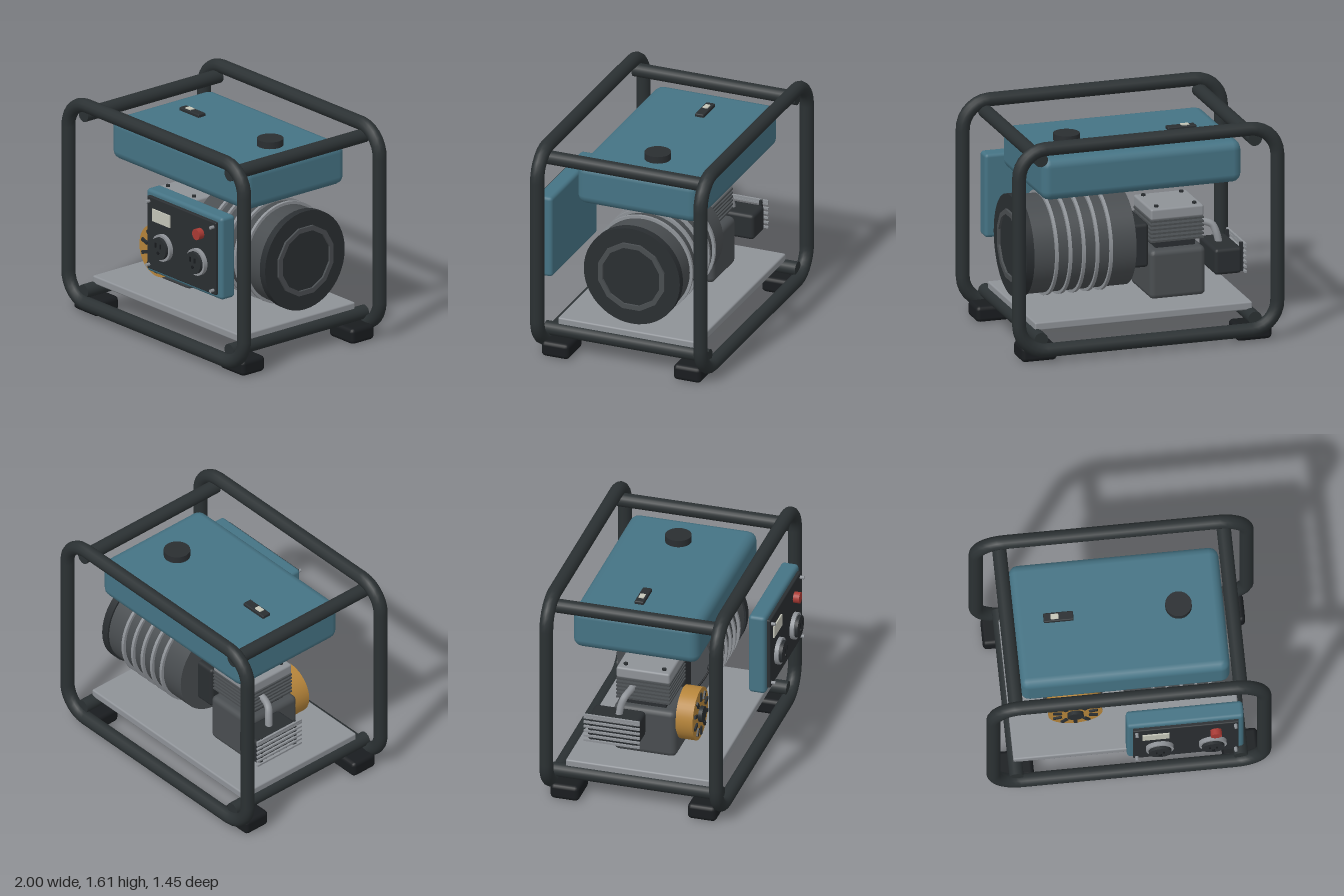
import * as THREE from 'three';
import { RoundedBoxGeometry } from 'three/addons/geometries/RoundedBoxGeometry.js';

const mat = (color) => new THREE.MeshStandardMaterial({ color });
const M = {
  frame: mat(0x2b3133), dark: mat(0x2a2e31), black: mat(0x191c1f), blue: mat(0x457384),
  metal: mat(0x8e9297), body: mat(0x494d50), gold: mat(0xb5843a), red: mat(0xa83a34), pale: mat(0xc4c5b8),
};

export function createModel() {
  const root = new THREE.Group();

  const add = (name, geometry, material, x = 0, y = 0, z = 0, parent = root) => {
    const mesh = new THREE.Mesh(geometry, material);
    mesh.name = name;
    mesh.position.set(x, y, z);
    parent.add(mesh);
    return mesh;
  };
  const group = (name) => {
    const g = new THREE.Group();
    g.name = name;
    root.add(g);
    return g;
  };
  // Box given by its extents; r rounds the edges
  const box = (name, m, [x0, x1], [y0, y1], [z0, z1], r = 0, parent = root) => {
    const s = [x1 - x0, y1 - y0, z1 - z0];
    const g = r ? new RoundedBoxGeometry(...s, 2, r) : new THREE.BoxGeometry(...s);
    return add(name, g, m, (x0 + x1) / 2, (y0 + y1) / 2, (z0 + z1) / 2, parent);
  };
  // Cylinder along an axis, from a to b on that axis; c holds the centre
  const rod = (name, m, axis, r, a, b, c, parent = root, sides = 32) => {
    const g = new THREE.CylinderGeometry(r, r, b - a, sides);
    if (axis === 'x') g.rotateZ(-Math.PI / 2);
    if (axis === 'z') g.rotateX(Math.PI / 2);
    const p = new THREE.Vector3(...c);
    p[axis] = (a + b) / 2;
    return add(name, g, m, p.x, p.y, p.z, parent);
  };

  // Tubular frame: two rounded loops joined by four cross bars
  const frame = group('frame');
  const V = (x, y) => new THREE.Vector3(x, y, 0);
  const loop = new THREE.CurvePath();
  const hx = 0.95, hy = 0.735, r = 0.2, k = r * 0.4477;
  // Corners in counter-clockwise order, with incoming and outgoing directions
  const corners = [[1, -1, 1, 0, 0, 1], [1, 1, 0, 1, -1, 0], [-1, 1, -1, 0, 0, -1], [-1, -1, 0, -1, 1, 0]]
    .map(([sx, sy, ix, iy, ox, oy]) => {
      const at = (d, dx, dy) => V(sx * hx + dx * d, sy * hy + dy * d);
      return [at(-r, ix, iy), at(-k, ix, iy), at(k, ox, oy), at(r, ox, oy)];
    });
  corners.forEach((c, i) => {
    loop.add(new THREE.CubicBezierCurve3(...c));
    loop.add(new THREE.LineCurve3(c[3], corners[(i + 1) % 4][0]));
  });
  const loopGeometry = new THREE.TubeGeometry(loop, 144, 0.05, 12, true);
  add('frontLoop', loopGeometry, M.frame, 0, 0.82, 0.563, frame);
  add('backLoop', loopGeometry, M.frame, 0, 0.82, -0.675, frame);
  for (const s of [-1, 1]) {
    rod('topCrossBar', M.frame, 'z', 0.05, -0.675, 0.563, [s * 0.787, 1.475, 0], frame, 20);
    rod('bottomCrossBar', M.frame, 'z', 0.05, -0.675, 0.563, [s * 0.787, 0.165, 0], frame, 20);
    for (const z of [[0.34, 0.55], [-0.66, -0.45]])
      box('foot', M.black, [s * 0.79 - 0.13, s * 0.79 + 0.13], [0, 0.115], z, 0.03, frame);
  }

  box('basePlate', M.metal, [-0.8, 0.8], [0.2, 0.26], [-0.58, 0.47], 0.012);

  // Fuel tank with cap and gauge
  const tank = group('fuelTank');
  box('tankBody', M.blue, [-0.737, 0.733], [1.125, 1.43], [-0.555, 0.365], 0.065, tank);
  rod('fuelCap', M.dark, 'y', 0.093, 1.42, 1.48, [0.417, 0, -0.125], tank);
  box('fuelGauge', M.dark, [-0.53, -0.32], [1.42, 1.453], [-0.16, -0.093], 0.008, tank);
  box('gaugeWindow', M.pale, [-0.48, -0.425], [1.44, 1.46], [-0.145, -0.107], 0, tank);

  // Control panel
  const panel = group('controlPanel');
  box('panelHousing', M.blue, [-0.02, 0.8], [0.557, 1.167], [0.515, 0.64], 0.025, panel);
  box('panelFace', M.dark, [0.02, 0.76], [0.592, 1.13], [0.62, 0.665], 0.008, panel);
  box('meterWindow', M.pale, [0.085, 0.275], [0.96, 1.05], [0.66, 0.675], 0, panel);
  rod('stopButton', M.red, 'z', 0.04, 0.66, 0.71, [0.6, 1.01, 0], panel, 24);
  for (const x of [0.045, 0.738]) for (const y of [0.625, 1.095])
    rod('panelScrew', M.metal, 'z', 0.012, 0.66, 0.695, [x, y, 0], panel, 10);
  for (const x of [0.205, 0.577]) {
    rod('socketRing', M.metal, 'z', 0.097, 0.66, 0.695, [x, 0.795, 0], panel);
    rod('socketFace', M.dark, 'z', 0.08, 0.69, 0.718, [x, 0.795, 0], panel);
    for (const s of [-1, 1])
      box('socketSlot', M.black, [x + s * 0.025 - 0.006, x + s * 0.025 + 0.006], [0.8, 0.835], [0.71, 0.725], 0, panel);
    rod('socketGround', M.black, 'z', 0.012, 0.71, 0.725, [x, 0.765, 0], panel, 10);
  }

  // Generator drum lying along x
  const generator = group('generator');
  const axis = [0, 0.69, -0.1];
  rod('drum', M.body, 'x', 0.35, 0.01, 0.77, axis, generator, 48);
  for (const x of [0.2, 0.3, 0.4, 0.5, 0.6])
    rod('drumRib', M.metal, 'x', 0.371, x - 0.011, x + 0.011, axis, generator, 48);
  rod('endBell', M.dark, 'x', 0.364, 0.765, 0.822, axis, generator, 48);
  // Flat twelve-sided ring on the end bell
  const ngon = (radius) => Array.from({ length: 12 }, (_, i) => {
    const a = (i + 0.5) * Math.PI / 6;
    return new THREE.Vector2(radius * Math.cos(a), radius * Math.sin(a));
  });
  const ringShape = new THREE.Shape(ngon(0.258));
  ringShape.holes.push(new THREE.Path(ngon(0.222)));
  const ring = new THREE.ExtrudeGeometry(ringShape, { depth: 0.02, bevelEnabled: false }).rotateY(Math.PI / 2);
  add('endRing', ring, M.body, 0.818, 0.69, -0.1, generator);
  box('couplingHousing', M.dark, [-0.135, 0.03], [0.49, 0.81], [-0.29, 0.09], 0.025, generator);

  // Engine block, cooling fins and head
  const engine = group('engine');
  box('crankcase', M.body, [-0.55, -0.14], [0.25, 0.61], [-0.31, 0.147], 0.04, engine);
  box('cylinder', M.dark, [-0.49, -0.2], [0.58, 0.84], [-0.24, 0.06], 0, engine);
  for (let i = 0; i < 6; i++) {
    const y = 0.665 + i * 0.029;
    box('coolingFin', M.body, [-0.54, -0.15], [y, y + 0.013], [-0.29, 0.1], 0, engine);
  }
  box('cylinderHead', M.metal, [-0.54, -0.15], [0.825, 0.908], [-0.29, 0.1], 0.015, engine);
  for (const x of [-0.485, -0.205]) for (const z of [-0.235, 0.045])
    rod('headBolt', M.dark, 'y', 0.016, 0.9, 0.922, [x, 0, z], engine, 6);

  // Recoil starter: slotted cover, hub, cord and handle
  const starter = group('recoilStarter');
  rod('starterCover', M.gold, 'z', 0.19, 0.14, 0.265, [-0.345, 0.52, 0], starter, 40);
  rod('starterHub', M.dark, 'z', 0.057, 0.26, 0.293, [-0.345, 0.52, 0], starter, 24);
  for (let i = 0; i < 10; i++) {
    const a = (i + 0.5) * Math.PI / 5;
    const slot = add('coverSlot', new THREE.BoxGeometry(0.06, 0.024, 0.03), M.dark,
      -0.345 + 0.132 * Math.cos(a), 0.52 + 0.132 * Math.sin(a), 0.263, starter);
    slot.rotation.z = a;
  }
  const tube = (name, m, radius, pts, parent) => add(name, new THREE.TubeGeometry(
    new THREE.CatmullRomCurve3(pts.map((p) => new THREE.Vector3(...p))), 24, radius, 10), m, 0, 0, 0, parent);
  tube('pullCord', M.black, 0.007, [[-0.26, 0.68, 0.22], [-0.2, 0.72, 0.25], [-0.13, 0.775, 0.277]], starter);
  add('pullHandle', new THREE.CapsuleGeometry(0.022, 0.12, 4, 12).rotateZ(Math.PI / 2), M.dark, -0.09, 0.783, 0.277, starter);

  // Muffler with louvred guard and exhaust pipe
  const exhaust = group('exhaust');
  box('muffler', M.dark, [-0.775, -0.575], [0.425, 0.615], [-0.43, -0.06], 0.025, exhaust);
  for (let i = 0; i < 6; i++) {
    const y = 0.432 + i * 0.036;
    box('guardLouvre', M.metal, [-0.802, -0.786], [y, y + 0.014], [-0.45, -0.04], 0, exhaust);
  }
  box('guardPlate', M.metal, [-0.802, -0.786], [0.628, 0.645], [-0.45, -0.04], 0, exhaust);
  for (const z of [-0.4, -0.09])
    box('guardPost', M.dark, [-0.79, -0.765], [0.435, 0.645], [z - 0.01, z + 0.01], 0, exhaust);
  tube('exhaustPipe', M.metal, 0.026,
    [[-0.48, 0.76, -0.17], [-0.57, 0.752, -0.18], [-0.63, 0.73, -0.2], [-0.655, 0.67, -0.22], [-0.67, 0.6, -0.23]], exhaust);

  return root;
}
